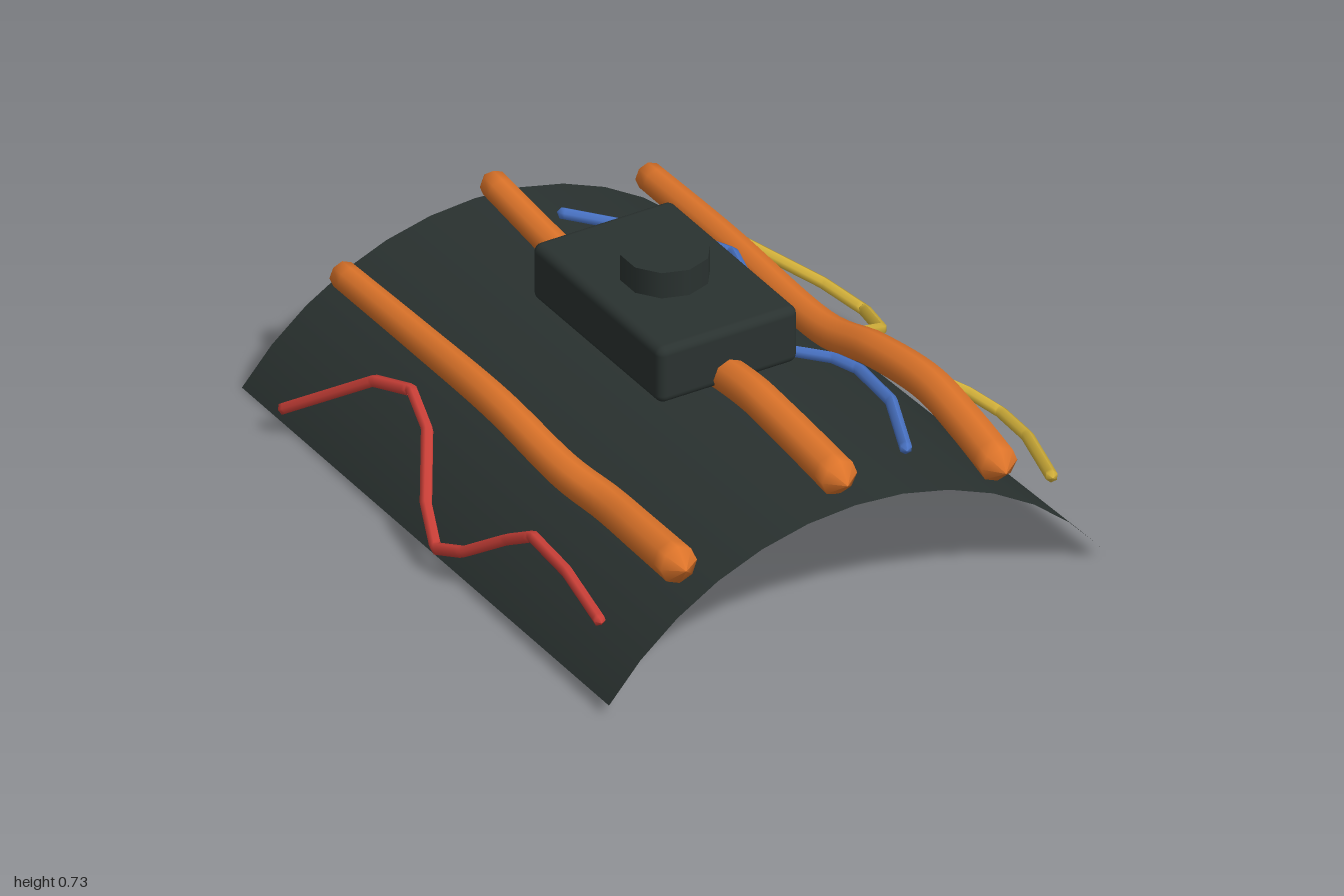
import * as THREE from 'three';
import { RoundedBoxGeometry } from 'three/addons/geometries/RoundedBoxGeometry.js';

const mat = (name, color, side = THREE.FrontSide) => {
  const m = new THREE.MeshStandardMaterial({ color, side });
  m.name = name;
  return m;
};

// Tube along points, tapering from r0 to r1 and closed at both ends; tension 0 keeps the runs straight
function taperedTube(points, r0, r1, segments, sides, tension) {
  const path = points.map((p) => new THREE.Vector3(...p));
  const curve = new THREE.CatmullRomCurve3(path, false, 'catmullrom', tension);
  const geo = new THREE.TubeGeometry(curve, segments, 1, sides, false);
  const pos = geo.attributes.position;
  const v = new THREE.Vector3();
  for (let i = 0; i <= segments; i++) {
    const centre = curve.getPointAt(i / segments);
    const tip = i === 0 || i === segments;
    const r = tip ? 0.0005 : THREE.MathUtils.lerp(r0, r1, i / segments);
    for (let j = 0; j <= sides; j++) {
      const k = i * (sides + 1) + j;
      v.fromBufferAttribute(pos, k).sub(centre).multiplyScalar(r).add(centre);
      pos.setXYZ(k, v.x, v.y, v.z);
    }
  }
  geo.computeVertexNormals();
  return geo;
}

export function createModel() {
  const group = new THREE.Group();
  const dark = mat('dark shell', 0x2a3230, THREE.DoubleSide);
  const orange = mat('orange pipe', 0xdd742a);
  const red = mat('red wire', 0xcc4038);
  const blue = mat('blue wire', 0x4a74c6);
  const yellow = mat('yellow wire', 0xd2b03a);

  const add = (name, geo, material, x = 0, y = 0, z = 0) => {
    const mesh = new THREE.Mesh(geo, material);
    mesh.name = name;
    mesh.position.set(x, y, z);
    group.add(mesh);
  };

  // Thin arched sheet, slightly wider at the front
  const arc = 1.833;
  const sheet = new THREE.CylinderGeometry(0.945, 1, 2, 12, 1, true, -arc / 2, arc);
  sheet.rotateX(-Math.PI / 2);
  add('archedSheet', sheet, dark, -0.02, -0.572, 0);

  // Control box with a round knob
  add('box', new RoundedBoxGeometry(0.45, 0.178, 0.675, 3, 0.025), dark, -0.02, 0.56, 0);
  add('knob', new THREE.CylinderGeometry(0.127, 0.127, 0.1, 10), dark, -0.02, 0.68, 0);

  // Thick pipes running back to front
  const pipes = {
    pipeRight: [[-0.503, 0.33, -0.95], [-0.51, 0.345, -0.5], [-0.535, 0.375, -0.05],
      [-0.535, 0.345, 0.3], [-0.513, 0.332, 0.5], [-0.525, 0.345, 0.7], [-0.54, 0.36, 0.96]],
    pipeMiddle: [[-0.02, 0.475, -0.95], [-0.02, 0.43, -0.5], [-0.02, 0.428, -0.35],
      [-0.02, 0.46, 0], [-0.02, 0.505, 0.4], [-0.02, 0.5, 0.6], [-0.02, 0.468, 0.96]],
    pipeLeft: [[0.48, 0.335, -0.95], [0.48, 0.34, -0.5], [0.476, 0.33, 0],
      [0.498, 0.375, 0.25], [0.515, 0.395, 0.5], [0.505, 0.38, 0.72], [0.49, 0.345, 0.96]],
  };
  for (const [name, pts] of Object.entries(pipes)) {
    add(name, taperedTube(pts, 0.041, 0.057, 44, 8, 0.5), orange);
  }

  // Thin angular wires lying over the sheet
  const wire = (name, pts, material) => add(name, taperedTube(pts, 0.018, 0.018, 150, 6, 0), material);
  wire('wireRight', [[-0.81, 0.08, -0.74], [-0.67, 0.27, -0.47], [-0.637, 0.305, -0.325],
    [-0.67, 0.26, -0.19], [-0.775, 0.14, -0.025], [-0.82, 0.075, 0.1], [-0.8, 0.115, 0.21],
    [-0.745, 0.21, 0.35], [-0.722, 0.265, 0.45], [-0.73, 0.255, 0.64], [-0.757, 0.215, 0.87]], red);
  wire('wireMiddle', [[0.085, 0.43, -0.74], [0.33, 0.415, -0.47], [0.395, 0.417, -0.325],
    [0.35, 0.425, -0.18], [0.21, 0.44, -0.06], [0.13, 0.455, 0.1], [0.21, 0.468, 0.26],
    [0.295, 0.473, 0.37], [0.322, 0.475, 0.46], [0.315, 0.47, 0.64], [0.225, 0.455, 0.87]], blue);
  wire('wireLeft', [[0.555, 0.25, -0.74], [0.77, 0.13, -0.46], [0.822, 0.095, -0.325],
    [0.77, 0.14, -0.155], [0.64, 0.225, -0.05], [0.582, 0.27, 0.09], [0.635, 0.255, 0.215],
    [0.74, 0.21, 0.35], [0.786, 0.182, 0.45], [0.778, 0.187, 0.6], [0.695, 0.218, 0.87]], yellow);

  return group;
}
